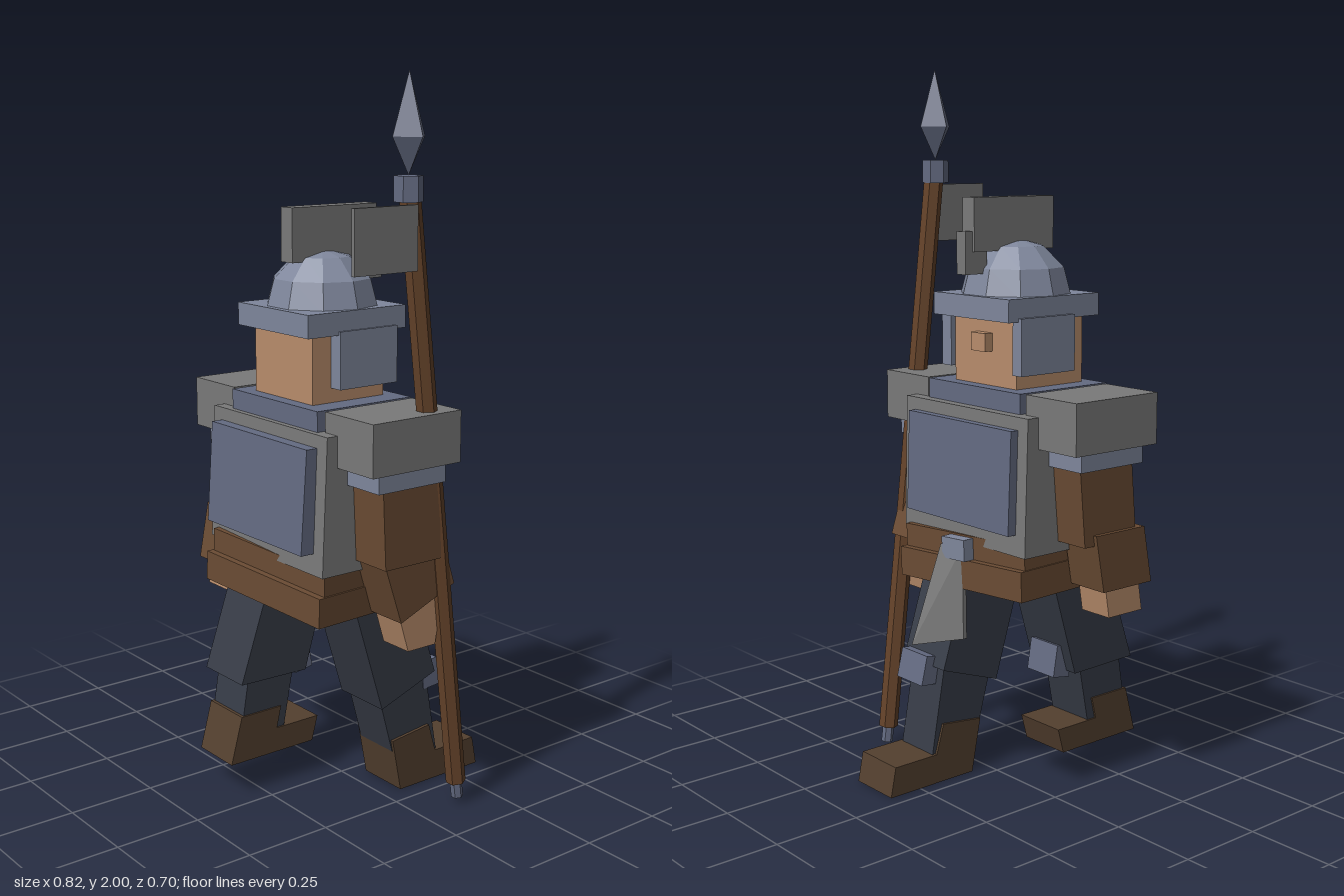
import * as THREE from 'three';

const C = { skin: 0xb98d6c, brown: 0x6b4c34, boot: 0x54402f, steel: 0x7f879c, plate: 0x646b82,
  cloth: 0x373c47, grey: 0x7a7a7a, wood: 0x65432a };
const mats = {};
const mat = (c) => (mats[c] ??= new THREE.MeshStandardMaterial({ color: C[c], flatShading: true, side: THREE.DoubleSide }));

export function createModel() {
  const root = new THREE.Group();

  const add = (name, color, geo, parent = root) => {
    const m = new THREE.Mesh(geo, mat(color));
    m.name = name;
    parent.add(m);
    return m;
  };
  // box from its extents along each axis
  const box = (name, color, [x0, x1], [y0, y1], [z0, z1], parent) => {
    const m = add(name, color, new THREE.BoxGeometry(x1 - x0, y1 - y0, z1 - z0), parent);
    m.position.set((x0 + x1) / 2, (y0 + y1) / 2, (z0 + z1) / 2);
    return m;
  };
  // side profile of (z, y) points, extruded along x
  const slab = (name, color, [x0, x1], pts) => {
    const shape = new THREE.Shape(pts.map(([z, y]) => new THREE.Vector2(z, y)));
    const g = new THREE.ExtrudeGeometry(shape, { depth: x1 - x0, bevelEnabled: false });
    g.rotateY(-Math.PI / 2);
    g.translate(x1, 0, 0);
    return add(name, color, g);
  };

  // head and helmet
  box('head', 'skin', [-0.14, 0.12], [1.13, 1.36], [-0.05, 0.19]);
  box('nose', 'skin', [-0.04, 0.02], [1.235, 1.285], [-0.077, -0.04]);
  box('helmetBrim', 'steel', [-0.163, 0.155], [1.325, 1.387], [-0.098, 0.23]);
  const dome = add('helmetDome', 'steel', new THREE.SphereGeometry(0.157, 10, 3, 0, Math.PI * 2, 0, Math.PI / 2));
  dome.position.set(-0.005, 1.38, 0.063);
  box('cheekGuardRight', 'steel', [-0.175, -0.14], [1.18, 1.335], [-0.064, 0.13]);
  box('cheekGuardLeft', 'steel', [0.122, 0.162], [1.18, 1.335], [-0.064, 0.13]);
  box('crest', 'grey', [-0.03, 0.02], [1.505, 1.65], [-0.105, 0.18]);
  box('crestFront', 'grey', [-0.023, 0.014], [1.445, 1.56], [-0.13, -0.055]);

  // torso and armour plates
  box('collar', 'plate', [-0.2, 0.19], [1.07, 1.14], [-0.09, 0.228]);
  slab('torso', 'grey', [-0.266, 0.255], [[0.245, 1.085], [0.262, 0.71], [-0.13, 0.71], [-0.12, 1.085]]);
  slab('backPlate', 'plate', [-0.227, 0.213], [[0.24, 1.05], [0.28, 1.05], [0.3, 0.768], [0.24, 0.768]]);
  slab('chestPlate', 'plate', [-0.227, 0.213], [[-0.11, 1.05], [-0.145, 1.05], [-0.155, 0.768], [-0.12, 0.768]]);

  // belt and skirt, turned slightly with the stride
  const hips = new THREE.Group();
  hips.name = 'hips';
  hips.position.set(-0.005, 0.65, 0.065);
  hips.rotation.set(0, 0.06, -0.04);
  root.add(hips);
  box('belt', 'brown', [-0.24, 0.24], [0, 0.08], [-0.2, 0.2], hips);
  box('skirt', 'brown', [-0.245, 0.245], [-0.068, 0.015], [-0.22, 0.22], hips);
  box('buckle', 'steel', [-0.04, 0.05], [0.015, 0.075], [-0.235, -0.19], hips);

  // hanging flap, a twisted thin sheet
  const flap = new THREE.BoxGeometry(1, 1, 1);
  const fp = flap.attributes.position;
  for (let i = 0; i < fp.count; i++) {
    const s = fp.getX(i) + 0.5, t = 0.5 - fp.getY(i), d = fp.getZ(i) * 0.012;
    const x = THREE.MathUtils.lerp(-0.03 + 0.07 * s, -0.04 + 0.125 * s, t);
    const z = THREE.MathUtils.lerp(-0.145 - 0.02 * s, -0.15 - 0.085 * s, t);
    fp.setXYZ(i, x, 0.7 - t * (0.26 + 0.03 * s), z + d);
  }
  flap.computeVertexNormals();
  add('flap', 'grey', flap);

  // shoulders and upper arms
  for (const [side, pad, band, arm] of [
    ['Left', [0.203, 0.4], [0.2, 0.385], [0.24, 0.378]],
    ['Right', [-0.41, -0.215], [-0.39, -0.21], [-0.37, -0.24]],
  ]) {
    box('shoulderPad' + side, 'grey', pad, [1.0, 1.14], [-0.083, 0.212]);
    box('sleeveBand' + side, 'steel', band, [0.95, 1.0], [-0.045, 0.18]);
    const lean = side === 'Left' ? 0 : 0.03;
    slab('upperArm' + side, 'brown', arm,
      [[0.16, 0.96], [0.15 + lean, 0.74], [-0.04 + lean, 0.74], [-0.03, 0.96]]);
  }

  // forearms and hands: left reaches forward, right swings back
  slab('forearmLeft', 'brown', [0.24, 0.365], [[0.145, 0.76], [0.085, 0.58], [-0.1, 0.655], [-0.05, 0.81]]);
  slab('handLeft', 'skin', [0.25, 0.353], [[0.09, 0.62], [0.05, 0.49], [-0.045, 0.49], [-0.07, 0.64]]);
  slab('forearmRight', 'brown', [-0.382, -0.255], [[0.2, 0.77], [0.23, 0.61], [0.05, 0.61], [0.02, 0.77]]);
  slab('handRight', 'skin', [-0.367, -0.262], [[0.195, 0.62], [0.21, 0.53], [0.085, 0.53], [0.07, 0.62]]);

  // left leg, striding forward
  slab('thighLeft', 'cloth', [0.025, 0.207], [[0.13, 0.63], [0.018, 0.267], [-0.175, 0.335], [-0.075, 0.65]]);
  slab('shinLeft', 'cloth', [0.047, 0.188], [[0.02, 0.32], [-0.035, 0.12], [-0.2, 0.085], [-0.155, 0.34]]);
  slab('bootLeft', 'boot', [0.04, 0.197],
    [[-0.03, 0.155], [-0.06, 0], [-0.352, 0], [-0.335, 0.085], [-0.19, 0.085], [-0.165, 0.17]]);
  slab('kneePadLeft', 'plate', [0.075, 0.19], [[-0.14, 0.36], [-0.195, 0.368], [-0.215, 0.285], [-0.15, 0.28]]);

  // right leg, trailing behind
  slab('thighRight', 'cloth', [-0.22, -0.04], [[0.215, 0.64], [0.32, 0.335], [0.1, 0.33], [0.01, 0.63]]);
  slab('shinRight', 'cloth', [-0.202, -0.055], [[0.285, 0.36], [0.315, 0.18], [0.175, 0.13], [0.13, 0.36]]);
  slab('bootRight', 'boot', [-0.207, -0.05],
    [[0.315, 0.235], [0.352, 0.1], [0.07, 0.1], [0.05, 0.172], [0.195, 0.172], [0.18, 0.235]]);
  slab('kneePadRight', 'plate', [-0.185, -0.075], [[0.115, 0.4], [0.065, 0.41], [0.05, 0.32], [0.11, 0.31]]);

  // spear: leaning shaft with butt, upright socket, head and pennant
  const rod = (name, color, r, a, b) => {
    const dir = b.clone().sub(a);
    const g = new THREE.CylinderGeometry(r, r, dir.length(), 6).rotateY(Math.PI / 2);
    const m = add(name, color, g);
    m.position.copy(a).add(b).multiplyScalar(0.5);
    m.quaternion.setFromUnitVectors(new THREE.Vector3(0, 1, 0), dir.normalize());
  };
  const at = (y, z) => new THREE.Vector3(0.353, y, z);
  rod('spearShaft', 'wood', 0.028, at(0.065, -0.13), at(1.7, 0.06));
  rod('spearButt', 'plate', 0.017, at(0.018, -0.136), at(0.08, -0.128));
  rod('spearSocket', 'plate', 0.038, at(1.68, 0.065), at(1.745, 0.065));
  const tip = [[0, 1.745], [0.053, 1.84], [0, 2]].map(([r, y]) => new THREE.Vector2(r, y));
  add('spearHead', 'plate', new THREE.LatheGeometry(tip, 4)).position.set(0.353, 0, 0.065);
  box('pennant', 'grey', [0.374, 0.386], [1.51, 1.675], [0.06, 0.262]);

  return root;
}
